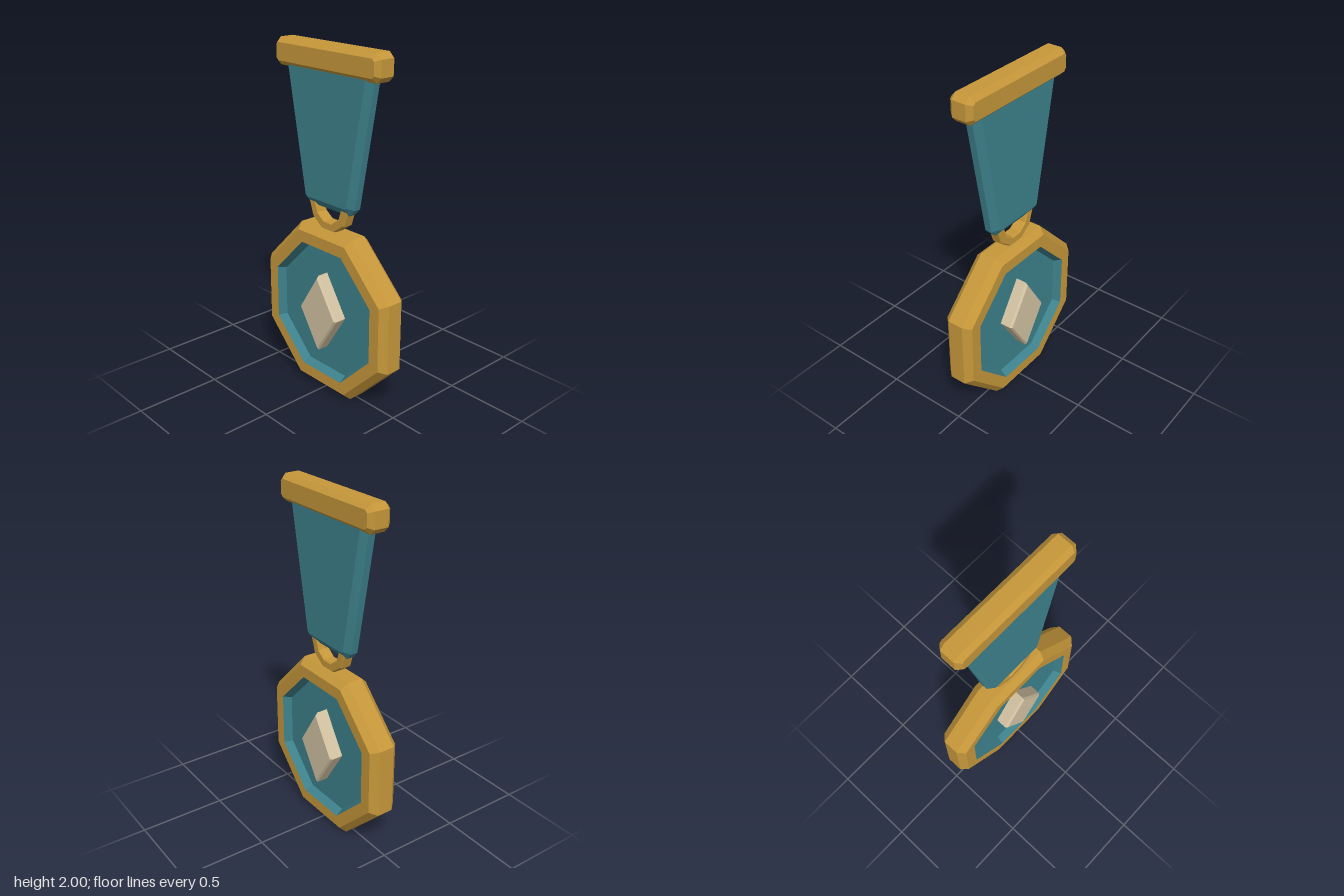
import * as THREE from 'three';

const material = (name, color) => {
  const m = new THREE.MeshStandardMaterial({ color });
  m.name = name;
  return m;
};

// Faceted copy: every face gets its own normal
function faceted(geometry) {
  const g = geometry.index ? geometry.toNonIndexed() : geometry;
  g.computeVertexNormals();
  return g;
}

// Profile of [radius, z] turned about the z axis into a regular polygon
function turned(profile, sides, start, sx = 1, sy = 1) {
  const points = profile.map(([r, z]) => new THREE.Vector2(r, z));
  const g = new THREE.LatheGeometry(points, sides, start).rotateX(Math.PI / 2).scale(sx, sy, 1);
  return faceted(g);
}

// Bevelled slab: wide outline at +-zSide, inset outline at +-zFace (both counterclockwise)
function slab(outer, inset, zSide, zFace) {
  const n = outer.length;
  const rings = [[inset, -zFace], [outer, -zSide], [outer, zSide], [inset, zFace]];
  const positions = rings.flatMap(([loop, z]) => loop.flatMap(([x, y]) => [x, y, z]));
  const index = [];
  for (let r = 0; r < 3; r++) {
    for (let i = 0; i < n; i++) {
      const a = r * n + i, b = r * n + (i + 1) % n;
      index.push(a, b, b + n, a, b + n, a + n);
    }
  }
  for (let i = 1; i < n - 1; i++) {
    index.push(0, i + 1, i);
    index.push(3 * n, 3 * n + i, 3 * n + i + 1);
  }
  const g = new THREE.BufferGeometry();
  g.setAttribute('position', new THREE.Float32BufferAttribute(positions, 3));
  g.setIndex(index);
  return faceted(g);
}

// Symmetric outline from its right half, listed from bottom to top
const mirrored = (half) => [...half, ...half.map(([x, y]) => [-x, y]).reverse()];

// Rectangle with cut corners
const cutRect = (w, y0, y1, c) =>
  mirrored([[w - c, y0], [w, y0 + c], [w, y1 - c], [w - c, y1]]);

export function createModel() {
  const gold = material('gold', 0xc6973a);
  const teal = material('teal enamel', 0x3d818c);
  const cream = material('cream stone', 0xd3c3a3);

  const model = new THREE.Group();
  model.name = 'medal';
  const add = (name, geometry, mat, y = 0) => {
    const mesh = new THREE.Mesh(geometry, mat);
    mesh.name = name;
    mesh.position.y = y;
    model.add(mesh);
  };

  // Octagonal disc: gold rim with a recessed enamel face on both sides
  const centre = 0.495;
  const k = 1 / Math.cos(Math.PI / 8);
  const octagon = (profile) =>
    turned(profile.map(([r, z]) => [r * k, z]), 8, Math.PI / 8);
  add('rim', octagon([
    [0.387, -0.087], [0.455, -0.087], [0.492, -0.047],
    [0.492, 0.047], [0.455, 0.087], [0.387, 0.087],
  ]), gold, centre);
  add('frontEnamel', octagon([[0.387, 0.087], [0.363, 0.04], [0, 0.04]]), teal, centre);
  add('backEnamel', octagon([[0, -0.04], [0.363, -0.04], [0.387, -0.087]]), teal, centre);

  // Diamond stone reaching through both faces
  add('diamond', turned(
    [[0, -0.118], [0.93, -0.118], [1, -0.105], [1, 0.105], [0.93, 0.118], [0, 0.118]],
    4, 0, 0.15, 0.234), cream, 0.497);

  // Ten-sided hanging ring
  add('ring', turned([
    [0.1, -0.028], [0.107, -0.035], [0.148, -0.035], [0.155, -0.028],
    [0.155, 0.028], [0.148, 0.035], [0.107, 0.035], [0.1, 0.028], [0.1, -0.028],
  ], 10, Math.PI / 10), gold, 1.127);

  // Tapered ribbon, its top tucked into the bar
  add('ribbon', slab(
    mirrored([[0.16, 1.105], [0.197, 1.145], [0.338, 1.9]]),
    mirrored([[0.152, 1.148], [0.164, 1.158], [0.303, 1.9]]),
    0.02, 0.052), teal);

  // Top bar
  add('topBar', slab(
    cutRect(0.397, 1.85, 2, 0.03), cutRect(0.372, 1.876, 1.974, 0.014),
    0.042, 0.07), gold);

  return model;
}
